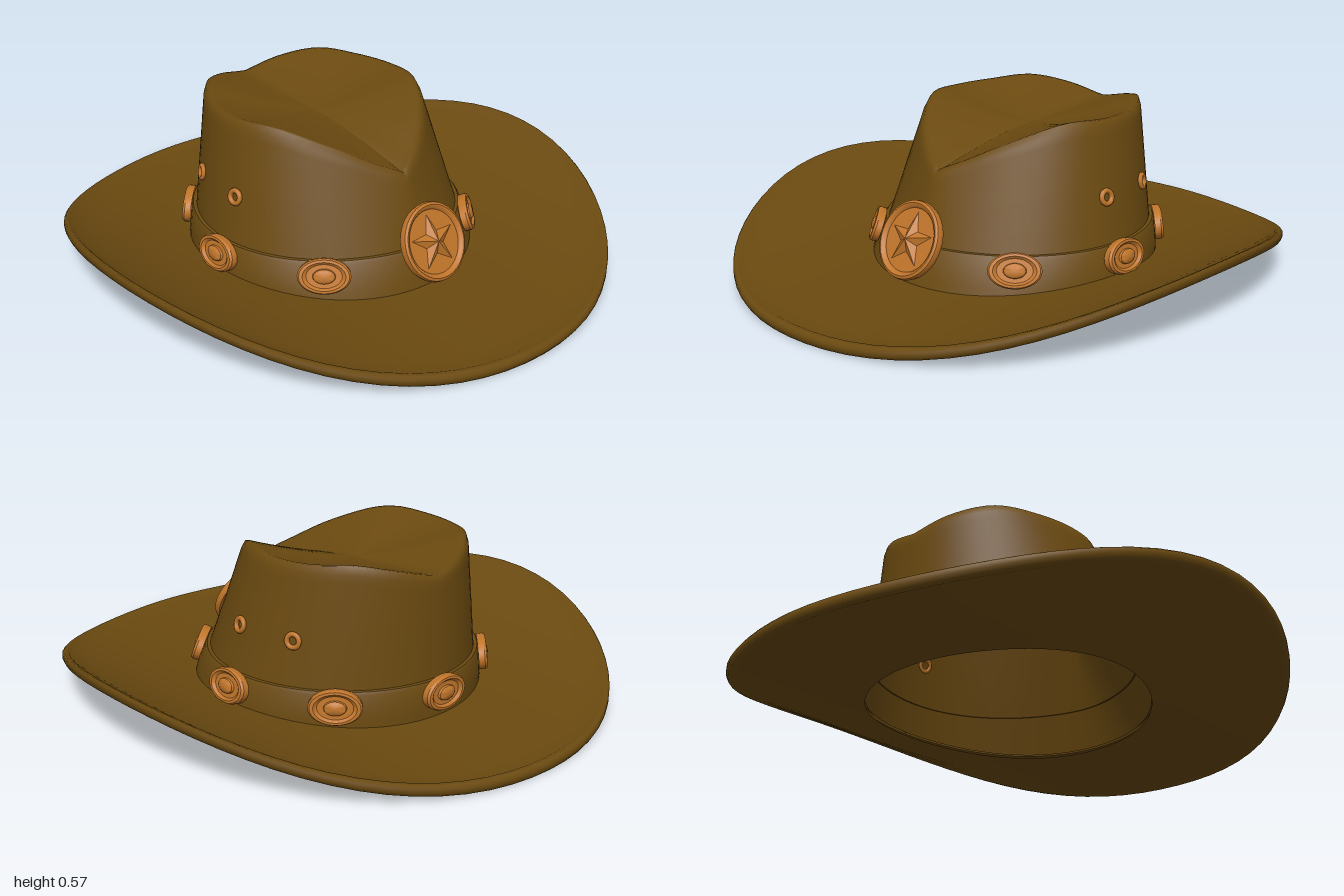
import * as THREE from 'three';
import { toCreasedNormals } from 'three/addons/utils/BufferGeometryUtils.js';

const SEG = 72;
const lerp = THREE.MathUtils.lerp;

// Closed loft: ring(i, t) gives a point; t = 0 is the front and runs towards +x
function loft(count, ring) {
  const pos = [], idx = [];
  for (let i = 0; i < count; i++) {
    for (let j = 0; j < SEG; j++) pos.push(...ring(i, (j / SEG) * Math.PI * 2));
  }
  for (let i = 0; i < count - 1; i++) {
    for (let j = 0; j < SEG; j++) {
      const k = (j + 1) % SEG;
      const a = i * SEG + j, b = i * SEG + k, c = b + SEG, d = a + SEG;
      idx.push(a, b, c, a, c, d);
    }
  }
  const g = new THREE.BufferGeometry();
  g.setAttribute('position', new THREE.Float32BufferAttribute(pos, 3));
  g.setIndex(idx);
  g.computeVertexNormals();
  return g;
}

// Brim surface: sides curl up, front and back droop slightly
const brimY = (x, z) => 0.03 + 0.19 * Math.pow(Math.abs(x) / 0.94, 3) - 0.01 * z * z;

// Crown foot (oval) and top edge (teardrop with its point in front)
function foot(t) {
  const x = 0.49 * Math.sin(t), z = -0.02 + 0.5 * Math.cos(t);
  return [x, brimY(x, z), z];
}
const edgeHeights = new THREE.SplineCurve(
  [0.4, 0.437, 0.508, 0.565, 0.564, 0.566, 0.575, 0.55, 0.517].map((y, i) => new THREE.Vector2(i, y)));
function edge(t) {
  const s = Math.sin(t), c = Math.cos(t);
  const u = Math.min(1, Math.acos(THREE.MathUtils.clamp(c, -1, 1)) / Math.PI);
  const x = 0.378 * Math.sign(s) * Math.pow(Math.abs(s), c > 0 ? 1.7 : 1);
  return [x, edgeHeights.getPoint(u).y, -0.1 + (c > 0 ? 0.46 : 0.405) * c];
}
function wall(t, v) {
  const a = foot(t), b = edge(t);
  return a.map((p, i) => lerp(p, b[i], v));
}
function wallAt(t, y) {
  const y0 = foot(t)[1], y1 = edge(t)[1];
  return new THREE.Vector3(...wall(t, (y - y0) / (y1 - y0)));
}

// Puts an object on the crown wall, facing outwards
function placeOnWall(obj, t, y, out) {
  const p = wallAt(t, y);
  const du = wallAt(t + 0.02, y).sub(wallAt(t - 0.02, y));
  const dv = wallAt(t, y + 0.02).sub(wallAt(t, y - 0.02));
  const n = du.cross(dv).normalize();
  obj.position.copy(p).addScaledVector(n, out);
  obj.lookAt(obj.position.clone().add(n));
}

// Turned disc facing +z; profile runs from the outside to the middle
function disc(profile, seg) {
  const g = new THREE.LatheGeometry(profile.map(p => new THREE.Vector2(...p)), seg);
  g.rotateX(Math.PI / 2);
  return toCreasedNormals(g, 0.6);
}

// Five-pointed faceted star facing +z, one point up
function starGeometry(radius, height) {
  let g = new THREE.ConeGeometry(radius, height, 10, 1, true);
  const p = g.attributes.position;
  for (let i = 0; i < p.count; i++) {
    const k = Math.round(Math.atan2(p.getX(i), p.getZ(i)) / (Math.PI / 5));
    if (Math.abs(k) % 2 === 1) {
      p.setX(i, p.getX(i) * 0.42);
      p.setZ(i, p.getZ(i) * 0.42);
    }
  }
  g.rotateX(Math.PI / 2).rotateZ(Math.PI);
  g = g.toNonIndexed();
  g.computeVertexNormals();
  return g;
}

export function createModel() {
  const hat = new THREE.Group();
  hat.name = 'hat';
  const felt = new THREE.MeshStandardMaterial({ color: 0x6b4a10, side: THREE.DoubleSide });
  felt.name = 'brown felt';
  const copper = new THREE.MeshStandardMaterial({ color: 0xc0752a, side: THREE.DoubleSide });
  copper.name = 'copper';
  const add = (name, geo, mat, parent = hat) => {
    const m = new THREE.Mesh(geo, mat);
    m.name = name;
    parent.add(m);
    return m;
  };

  // Brim: [distance from crown foot to rim, height offset], underside first
  const brimProfile = [[0, -0.012], [0.2, -0.012], [0.4, -0.012], [0.6, -0.012], [0.8, -0.012],
    [0.92, -0.013], [0.95, -0.019], [0.985, -0.018], [1, -0.006], [1, 0.008], [0.985, 0.018],
    [0.95, 0.019], [0.92, 0.011], [0.8, 0.01], [0.6, 0.01], [0.4, 0.01], [0.2, 0.01], [0, 0.01]];
  add('brim', loft(brimProfile.length, (i, t) => {
    const [s, dy] = brimProfile[i];
    const f = foot(t);
    const x = lerp(f[0], 0.94 * Math.sin(t), s), z = lerp(f[2], Math.cos(t), s);
    return [x, brimY(x, z) + dy, z];
  }), felt);

  // Crown: straight wall, rounded edge, sunken top
  const wallSteps = [0, 0.2, 0.4, 0.6, 0.8, 0.9, 0.95];
  const topSteps = [0.985, 0.95, 0.91, 0.86, 0.75, 0.6, 0.45, 0.3, 0.15, 0];
  add('crown', loft(wallSteps.length + topSteps.length, (i, t) => {
    if (i < wallSteps.length) return wall(t, wallSteps[i]);
    const s = topSteps[i - wallSteps.length];
    const e = edge(t);
    const h = s > 0.94 ? e[1] : lerp(0.485, e[1], Math.pow(s / 0.95, 1.4));
    return [e[0] * s, h, lerp(-0.1, e[2], s)];
  }), felt);

  // Hat band
  const bandProfile = [[1.03, 0.0], [1.035, 0.07], [1.035, 0.155], [1.025, 0.165], [0.99, 0.166]];
  add('hatBand', toCreasedNormals(loft(bandProfile.length, (i, t) => {
    const [k, y] = bandProfile[i];
    const p = i === 0 ? new THREE.Vector3(...foot(t)) : wallAt(t, y);
    return [p.x * k, p.y, -0.02 + (p.z + 0.02) * k];
  }), 0.6), felt);

  // Oval studs around the band
  const studGeo = disc([[0.074, -0.012], [0.075, 0.01], [0.07, 0.018], [0.06, 0.019], [0.05, 0.01],
    [0.032, 0.01], [0.03, 0.018], [0.022, 0.024], [0, 0.026]], 28);
  for (let i = 1; i < 8; i++) {
    const stud = add('bandStud', studGeo, copper);
    placeOnWall(stud, i * Math.PI / 4, 0.118, 0.024);
    stud.scale.set(1.2, 0.8, 1);
  }

  // Ventilation eyelets on both sides
  const eyeletGeo = new THREE.TorusGeometry(0.022, 0.009, 8, 20);
  for (const side of [-1, 1]) {
    for (const t of [1.47, 1.98]) {
      placeOnWall(add('eyelet', eyeletGeo, copper), side * t, 0.318, 0.004);
    }
  }

  // Front medallion with a star
  const medallion = new THREE.Group();
  medallion.name = 'frontMedallion';
  medallion.position.set(0.01, 0.185, 0.475);
  medallion.rotation.x = -0.45;
  hat.add(medallion);
  add('medallionDisc', disc([[0, 0], [0.132, 0], [0.136, 0.014], [0.133, 0.026], [0.124, 0.031],
    [0.115, 0.027], [0.109, 0.018], [0, 0.018]], 40), copper, medallion);
  add('medallionStar', starGeometry(0.1, 0.026), copper, medallion).position.z = 0.03;
  return hat;
}
